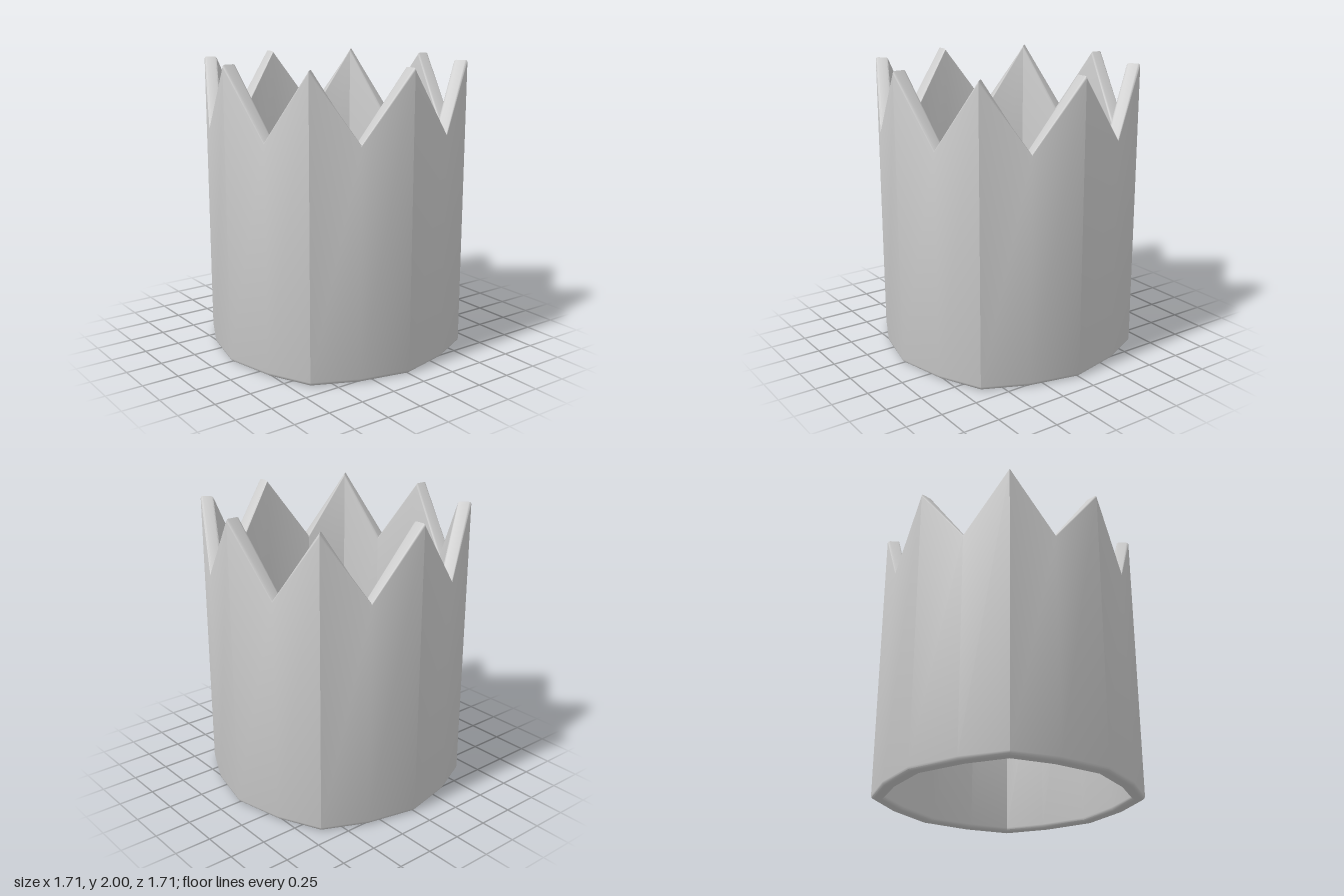
import * as THREE from 'three';
import { toCreasedNormals } from 'three/addons/utils/BufferGeometryUtils.js';

// Plan of one eighth of the ring: outer and inner [x, z] and top height
const PEAK = { outer: [0, 0.855], inner: [0, 0.762], top: 2 };
const VALLEY = { outer: [0.348, 0.777], inner: [0.32, 0.69], top: 1.55 };
const CORNER = { outer: [0.64, 0.64], inner: [0.577, 0.577], top: 2 };

const mirror = (s) => ({ outer: [...s.outer].reverse(), inner: [...s.inner].reverse(), top: s.top });

// Sixteen stations around the ring, made by turning one quarter four times
function ringStations() {
  const quarter = [PEAK, VALLEY, CORNER, mirror(VALLEY)];
  const stations = [];
  for (let q = 0; q < 4; q++) {
    const c = Math.round(Math.cos(q * Math.PI / 2));
    const s = Math.round(Math.sin(q * Math.PI / 2));
    const turn = ([x, z]) => new THREE.Vector2(x * c + z * s, z * c - x * s);
    for (const p of quarter) stations.push({ outer: turn(p.outer), inner: turn(p.inner), top: p.top });
  }
  return stations;
}

// Wall cross-section with four rounded corners, from outer bottom round to inner bottom
function wallSection({ outer, inner, top }) {
  const thick = outer.distanceTo(inner);
  const steps = 3;
  const points = [];
  const corner = (depth, y, radius, start) => {
    for (let k = 0; k <= steps; k++) {
      const a = start + (k / steps) * Math.PI / 2;
      const d = (depth - radius * Math.cos(a)) / thick;
      const p = outer.clone().lerp(inner, d);
      points.push(p.x, y + radius * Math.sin(a), p.y);
    }
  };
  const low = 0.026, high = 0.016;
  corner(low, low, low, -Math.PI / 2);
  corner(high, top - high, high, 0);
  corner(thick - high, top - high, high, Math.PI / 2);
  corner(thick - low, low, low, Math.PI);
  return points;
}

export function createModel() {
  const sections = ringStations().map(wallSection);
  const n = sections.length;
  const m = sections[0].length / 3;
  const index = [];
  for (let i = 0; i < n; i++) {
    for (let j = 0; j < m; j++) {
      const i2 = (i + 1) % n, j2 = (j + 1) % m;
      const a = i * m + j, b = i2 * m + j, c = i2 * m + j2, d = i * m + j2;
      index.push(a, b, c, a, c, d);
    }
  }
  const geometry = new THREE.BufferGeometry();
  geometry.setAttribute('position', new THREE.Float32BufferAttribute(sections.flat(), 3));
  geometry.setIndex(index);

  const crown = new THREE.Mesh(
    toCreasedNormals(geometry, 0.61),
    new THREE.MeshStandardMaterial({ color: 0xcccccc })
  );
  crown.name = 'crownBand';
  const group = new THREE.Group();
  group.name = 'crown';
  group.add(crown);
  return group;
}
